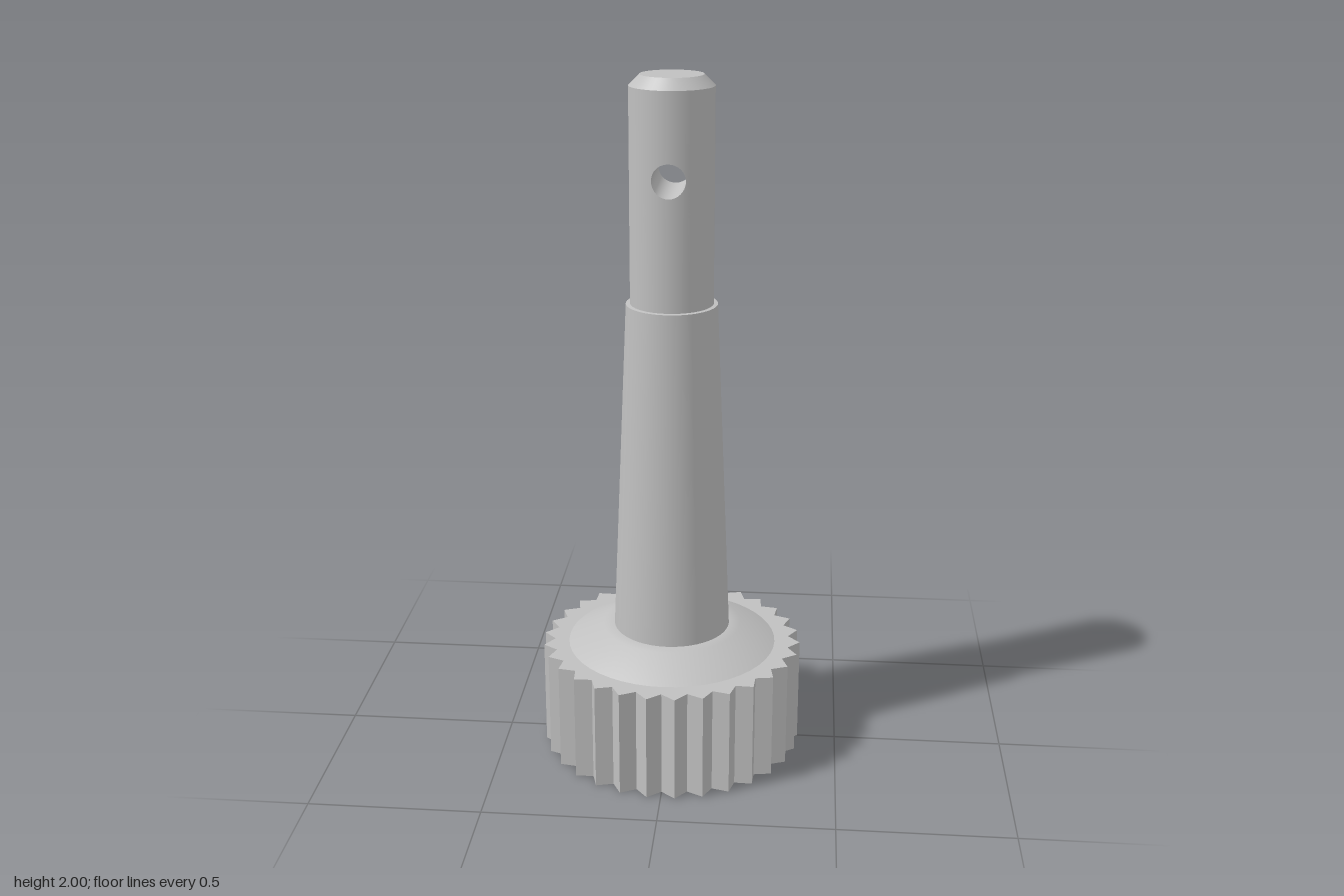
import * as THREE from 'three';
import { ParametricGeometry } from 'three/addons/geometries/ParametricGeometry.js';

const SEG = 48;
const SHAFT_R = 0.118, HOLE_R = 0.047, HOLE_Y = 1.73;
const BAND = 0.1; // half height of the drilled band

export function createModel() {
  const metal = new THREE.MeshStandardMaterial({ color: 0xc0c0c0 });
  metal.name = 'grey metal';
  const group = new THREE.Group();
  group.name = 'gearShaft';

  const add = (name, geometry) => {
    const mesh = new THREE.Mesh(geometry, metal);
    mesh.name = name;
    group.add(mesh);
    return mesh;
  };
  // Turned surface from [radius, height] points, listed bottom to top
  const turned = (name, ...pts) =>
    add(name, new THREE.LatheGeometry(pts.map(p => new THREE.Vector2(...p)), SEG));

  // Toothed base
  const teeth = 30, outline = new THREE.Shape();
  for (let i = 0; i < teeth * 2; i++) {
    const a = (i * Math.PI) / teeth, r = i % 2 ? 0.352 : 0.386;
    outline[i ? 'lineTo' : 'moveTo'](r * Math.cos(a), r * Math.sin(a));
  }
  outline.closePath();
  const gear = new THREE.ExtrudeGeometry(outline, { depth: 0.318, bevelEnabled: false });
  gear.rotateX(-Math.PI / 2);
  add('toothedBase', gear);

  // Sloped collar and tapered stem
  turned('collar', [0.31, 0.318], [0.205, 0.373], [0.165, 0.375]);
  turned('taperedStem', [0.172, 0.373], [0.13, 1.365]);
  turned('stemShoulder', [0.13, 1.365], [SHAFT_R, 1.366]);

  // Pin shaft above and below the drilled band, with chamfered end
  turned('lowerPin', [SHAFT_R, 1.365], [SHAFT_R, HOLE_Y - BAND]);
  turned('upperPin', [SHAFT_R, HOLE_Y + BAND], [SHAFT_R, 1.97]);
  turned('chamfer', [SHAFT_R, 1.97], [0.088, 2]);
  turned('endFace', [0.088, 2], [0, 2]);

  // Half of the drilled band: a rectangle blended into the hole rim, wrapped on the shaft
  const half = (u, v, out) => {
    const s = u * 4, side = Math.min(3, Math.max(0, Math.floor(s))), f = (s - side) * 2 - 1;
    const [ex, ey] = [[1, f], [-f, 1], [-1, -f], [f, -1]][side];
    const t = u * Math.PI * 2 - Math.PI / 4;
    const rim = Math.asin((HOLE_R * Math.cos(t)) / SHAFT_R);
    const a = THREE.MathUtils.lerp((ex * Math.PI) / 2, rim, v);
    const y = THREE.MathUtils.lerp(ey * BAND, HOLE_R * Math.sin(t), v);
    out.set(SHAFT_R * Math.sin(a), HOLE_Y + y, SHAFT_R * Math.cos(a));
  };
  const band = new ParametricGeometry(half, SEG * 2, 14);
  add('drilledBandFront', band);
  add('drilledBandBack', band).rotation.y = Math.PI;

  // Inside wall of the cross hole, ending on the shaft surface
  add('crossHole', new ParametricGeometry((u, v, out) => {
    const t = u * Math.PI * 2 - Math.PI / 4, x = HOLE_R * Math.cos(t);
    out.set(x, HOLE_Y + HOLE_R * Math.sin(t), (1 - 2 * v) * Math.sqrt(SHAFT_R ** 2 - x * x));
  }, SEG * 2, 2));

  return group;
}
